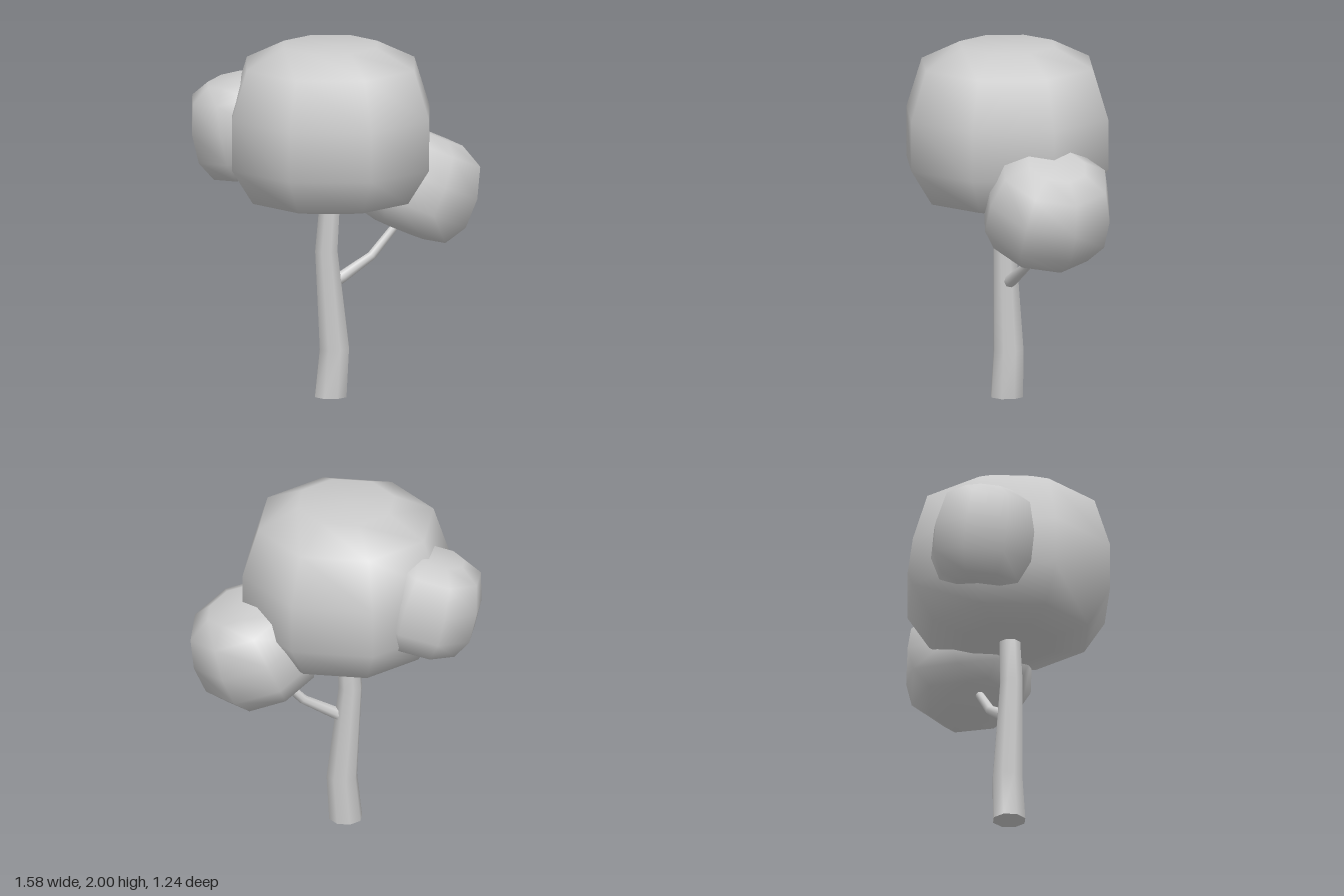
import * as THREE from 'three';
import { toCreasedNormals } from 'three/addons/utils/BufferGeometryUtils.js';

const material = new THREE.MeshStandardMaterial({ color: 0xcccccc });

// Eight-sided foliage profile [radius, height from centre], bottom to top
const foliageProfile = [
  [0, -0.4575], [0.255, -0.4575], [0.468, -0.412], [0.595, -0.2125],
  [0.595, 0.0675], [0.505, 0.3475], [0.28, 0.4575], [0, 0.4575],
].map(([r, y]) => new THREE.Vector2(r, y));

function foliage(name, position, width, height, tilt) {
  const mesh = new THREE.Mesh(new THREE.LatheGeometry(foliageProfile, 8), material);
  mesh.name = name;
  mesh.position.set(...position);
  mesh.scale.set(width, height, width);
  mesh.rotation.z = tilt;
  return mesh;
}

// Tapered limb: a cylinder whose rings are moved onto [x, y, radius] stations
function limb(name, stations, z) {
  const last = stations.length - 1;
  const geometry = new THREE.CylinderGeometry(1, 1, last, 8, last);
  const pos = geometry.attributes.position;
  for (let i = 0; i < pos.count; i++) {
    const k = Math.round(pos.getY(i) + last / 2);
    const [x, y, r] = stations[k];
    const a = stations[Math.max(k - 1, 0)];
    const b = stations[Math.min(k + 1, last)];
    // The foot of the trunk stays level with the ground
    const dir = new THREE.Vector2(y === 0 ? 0 : b[0] - a[0], b[1] - a[1]).normalize();
    const side = pos.getX(i) * r;
    pos.setXYZ(i, x + dir.y * side, y - dir.x * side, z + pos.getZ(i) * r);
  }
  const mesh = new THREE.Mesh(toCreasedNormals(geometry, 1.0), material);
  mesh.name = name;
  return mesh;
}

export function createModel() {
  const tree = new THREE.Group();
  tree.name = 'tree';

  tree.add(
    // Wood
    limb('trunk', [[-0.105, 0, 0.095], [-0.083, 0.27, 0.088], [-0.132, 0.83, 0.067], [-0.1, 1.25, 0.058]], 0.025),
    limb('branch', [[-0.07, 0.656, 0.037], [-0.035, 0.675, 0.035], [0.14, 0.78, 0.027], [0.4, 1.07, 0.02]], 0.028),

    // Foliage clumps
    foliage('mainCanopy', [-0.105, 1.5425, 0.022], 1, 1, 0),
    foliage('leftClump', [0.419, 1.174, 0.025], 0.613, 0.613, -0.419),
    foliage('rearClump', [-0.497, 1.503, -0.327], 0.5, 0.6, 0.244),
  );
  return tree;
}
